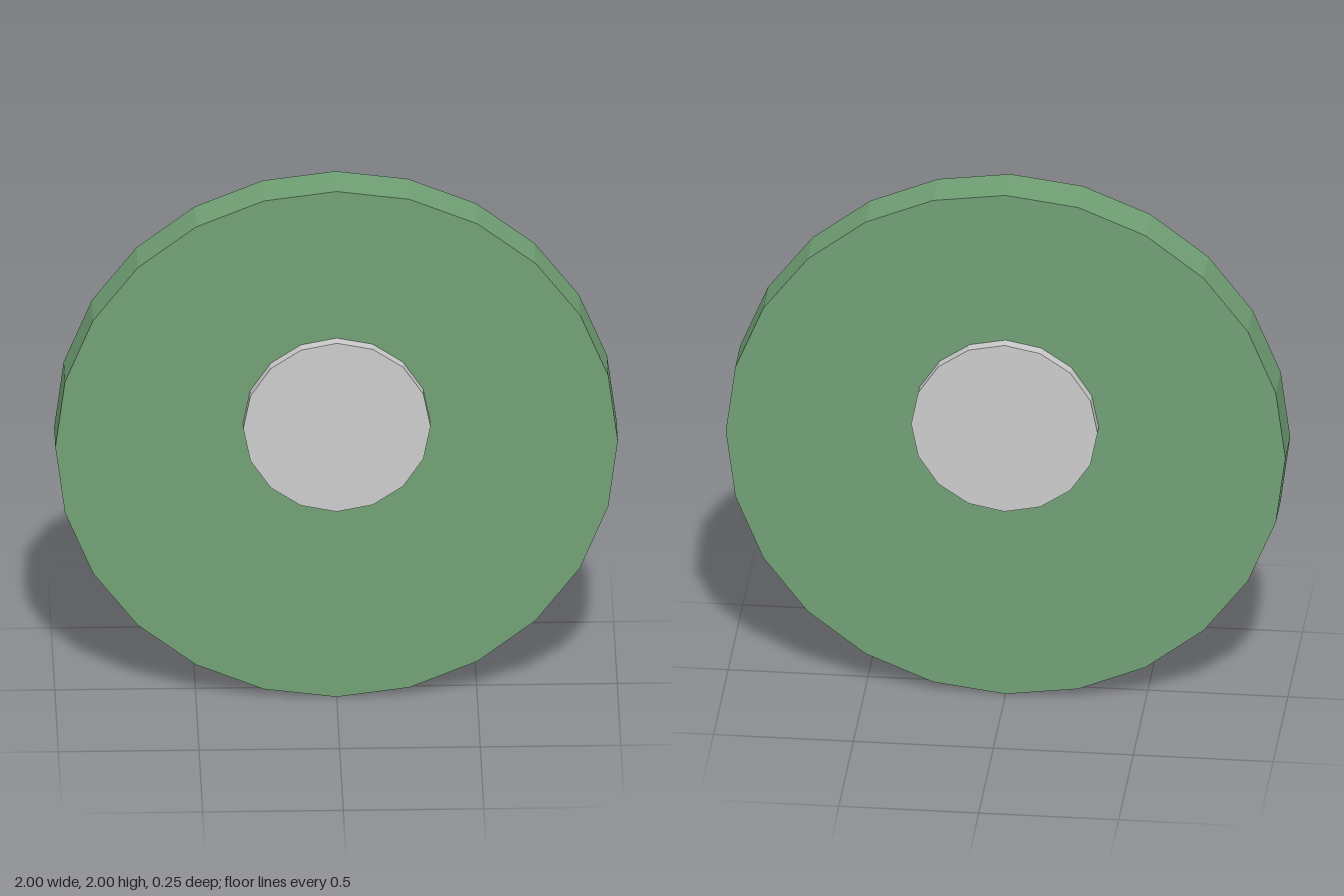
import * as THREE from 'three';

// Flat-shaded disc whose axis runs along z
function disc(name, radius, depth, sides, y, color) {
  const geometry = new THREE.CylinderGeometry(radius, radius, depth, sides);
  geometry.rotateX(Math.PI / 2);
  const material = new THREE.MeshStandardMaterial({ color, flatShading: true });
  const mesh = new THREE.Mesh(geometry, material);
  mesh.name = name;
  mesh.position.y = y;
  return mesh;
}

export function createModel() {
  const model = new THREE.Group();
  model.name = 'wheel';
  // Broad outer wheel
  model.add(disc('wheelDisc', 1, 0.165, 24, 1, 0x71a075));
  // Hub, set slightly above centre and standing proud on both faces
  model.add(disc('hub', 0.333, 0.25, 16, 1.087, 0xcccccc));
  return model;
}
